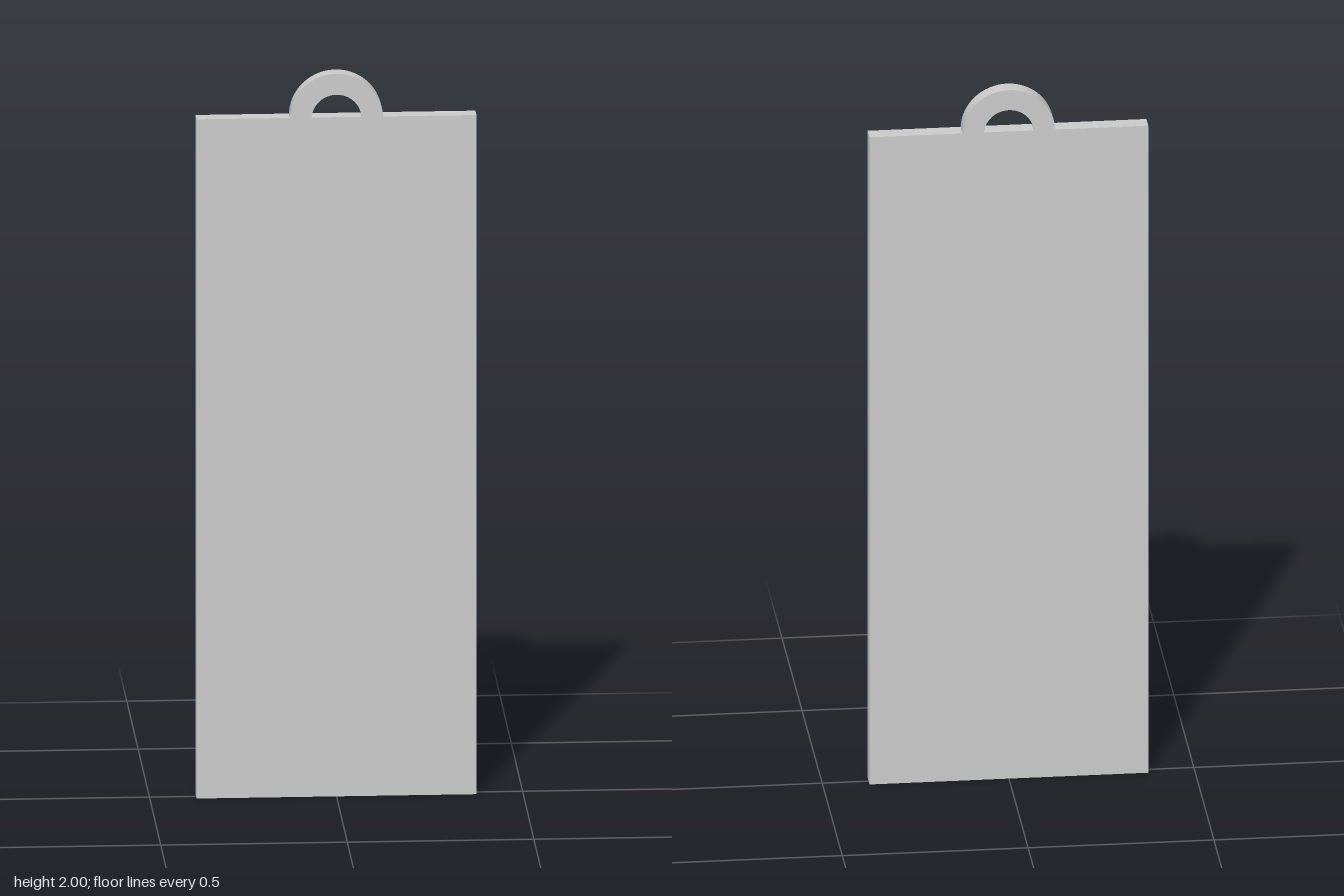
import * as THREE from 'three';
import { toCreasedNormals } from 'three/addons/utils/BufferGeometryUtils.js';

const WIDTH = 0.75, TOP = 1.88, DEPTH = 0.046;
const CENTRE = 1.875, OUTER = 0.125, INNER = 0.067;

export function createModel() {
  const group = new THREE.Group();
  group.name = 'hangingTag';
  const material = new THREE.MeshStandardMaterial({ color: 0xcccccc });

  // Flat rectangular plate
  const plate = new THREE.Mesh(new THREE.BoxGeometry(WIDTH, TOP, DEPTH), material);
  plate.name = 'plate';
  plate.position.y = TOP / 2;
  group.add(plate);

  // Half-ring hanging loop, with both feet cut off level with the plate's top edge
  const a = Math.asin((TOP - CENTRE) / OUTER);
  const b = Math.asin((TOP - CENTRE) / INNER);
  const arch = new THREE.Shape();
  arch.absarc(0, CENTRE, OUTER, a, Math.PI - a, false);
  arch.absarc(0, CENTRE, INNER, Math.PI - b, b, true);
  arch.closePath();
  const geometry = new THREE.ExtrudeGeometry(arch, { depth: DEPTH, bevelEnabled: false, curveSegments: 32 });
  geometry.translate(0, 0, -DEPTH / 2);
  const loop = new THREE.Mesh(toCreasedNormals(geometry, 0.6), material);
  loop.name = 'hangingLoop';
  group.add(loop);

  return group;
}
